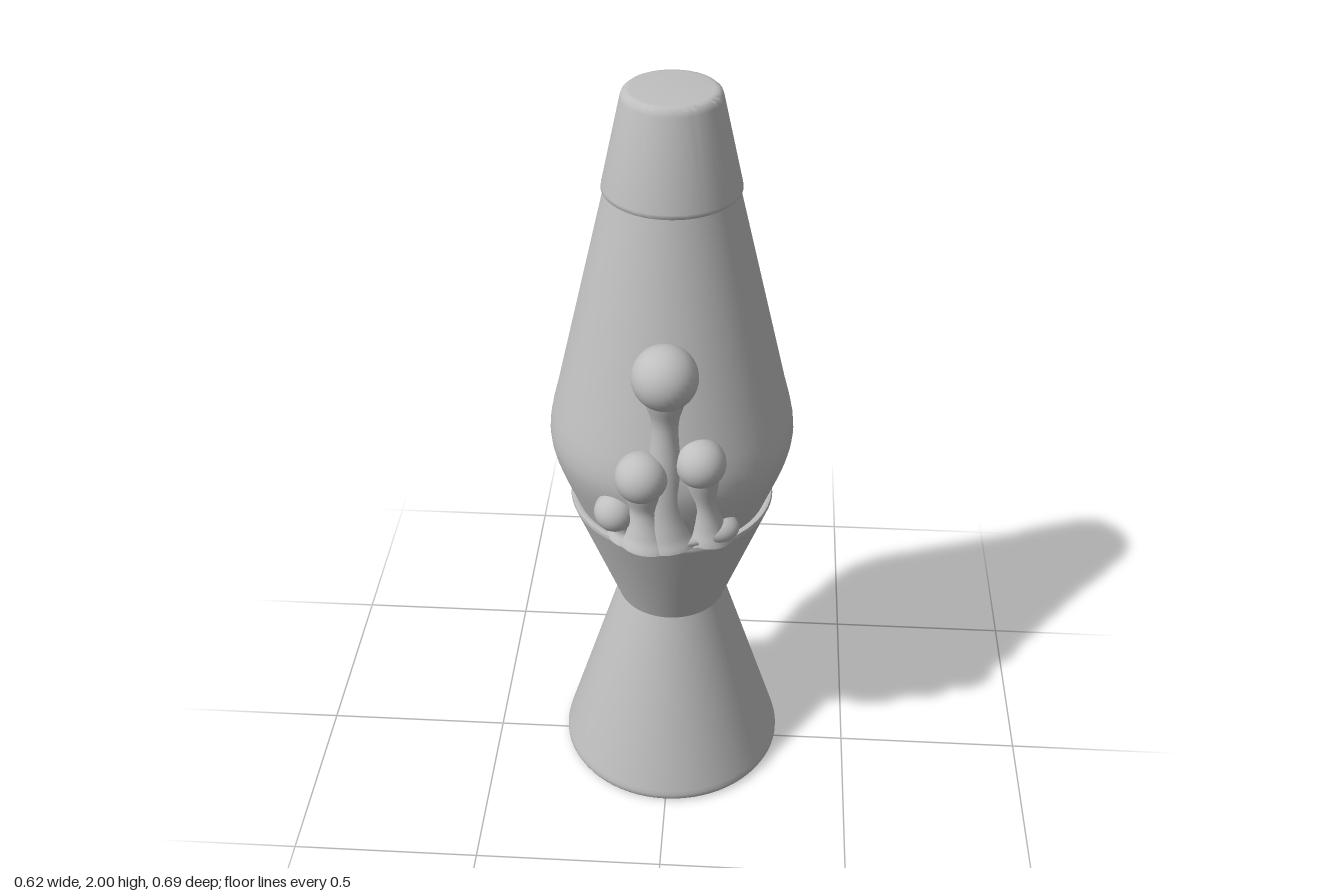
import * as THREE from 'three';
import { toCreasedNormals } from 'three/addons/utils/BufferGeometryUtils.js';

const AXIS_Z = -0.033; // the lamp body sits slightly behind the centre

export function createModel() {
  const model = new THREE.Group();
  const grey = new THREE.MeshStandardMaterial({ color: 0xbfbfbf });
  grey.name = 'plain grey';

  const add = (name, geometry, parent) => {
    const mesh = new THREE.Mesh(geometry, grey);
    mesh.name = name;
    parent.add(mesh);
    return mesh;
  };

  // Turned body part from [radius, height] pairs, bottom to top
  const turned = (name, profile, crease = 0.4) => {
    const points = profile.map(([r, y]) => new THREE.Vector2(r, y));
    const geometry = toCreasedNormals(new THREE.LatheGeometry(points, 72), crease);
    add(name, geometry, model).position.z = AXIS_Z;
  };

  turned('base', [
    [0, 0], [0.294, 0], [0.301, 0.004], [0.305, 0.012], [0.305, 0.022], [0.302, 0.034],
    [0.145, 0.545],
  ], 0.8);
  turned('cup', [
    [0.145, 0.545], [0.262, 0.862], [0.266, 0.873], [0.264, 0.88], [0.257, 0.882], [0.24, 0.874],
  ], 0.9);
  turned('globe', [
    [0.238, 0.85], [0.25, 0.88], [0.288, 0.98], [0.301, 1.02], [0.309, 1.055], [0.312, 1.085],
    [0.309, 1.12], [0.301, 1.16], [0.288, 1.21], [0.158, 1.765],
  ], 0.6);
  turned('cap', [
    [0.15, 1.754], [0.164, 1.754], [0.167, 1.759], [0.166, 1.766], [0.119, 1.98], [0.115, 1.992],
    [0.107, 1.999], [0.098, 2], [0, 2],
  ], 0.8);

  // Rising wax on the front of the globe
  const wax = new THREE.Group();
  wax.name = 'wax';
  model.add(wax);

  const blob = (name, x, y, z, r, sx = 1, sy = 1, sz = 1) => {
    const mesh = add(name, new THREE.SphereGeometry(r, 32, 20), wax);
    mesh.position.set(x, y, z);
    mesh.scale.set(sx, sy, sz);
  };
  blob('topBubble', 0, 1.4, 0.237, 0.08);
  blob('rightBubble', -0.055, 1.14, 0.279, 0.065);
  blob('leftBubble', 0.087, 1.167, 0.25, 0.062);
  blob('smallBubble', -0.125, 1.0, 0.235, 0.052);
  blob('lowBubble', 0.13, 0.935, 0.2, 0.045, 1.2, 0.85, 1);

  // Wax stem with rows of [x, y, z, radius], its centre line following the globe
  const stem = (name, rows) => {
    const path = new THREE.CatmullRomCurve3(rows.map(([x, y, z]) => new THREE.Vector3(x, y, z)));
    const radii = new THREE.SplineCurve(rows.map(([, y, , r]) => new THREE.Vector2(r, y)));
    const steps = 24;
    const centres = [], profile = [];
    for (let i = 0; i <= steps; i++) {
      const c = path.getPoint(i / steps);
      centres.push(c);
      profile.push(new THREE.Vector2(radii.getPoint(i / steps).x, c.y));
    }
    const geometry = new THREE.LatheGeometry(profile, 28);
    const position = geometry.attributes.position;
    for (let i = 0; i < position.count; i++) {
      const c = centres[i % (steps + 1)];
      position.setX(i, position.getX(i) + c.x);
      position.setZ(i, position.getZ(i) + c.z);
    }
    add(name, geometry, wax);
  };
  stem('centreStem', [
    [-0.01, 0.885, 0.165, 0.1], [-0.01, 0.93, 0.195, 0.08], [-0.005, 1.02, 0.232, 0.055],
    [0, 1.15, 0.245, 0.045], [0, 1.27, 0.235, 0.033], [0, 1.35, 0.235, 0.052],
  ]);
  stem('rightStem', [
    [-0.04, 0.885, 0.185, 0.085], [-0.045, 0.94, 0.222, 0.06], [-0.05, 1.03, 0.26, 0.036],
    [-0.055, 1.1, 0.275, 0.048],
  ]);
  stem('leftStem', [
    [0.11, 0.885, 0.17, 0.062], [0.105, 0.95, 0.205, 0.045], [0.095, 1.04, 0.235, 0.032],
    [0.088, 1.13, 0.248, 0.045],
  ]);
  stem('smallStem', [
    [-0.085, 0.885, 0.175, 0.065], [-0.1, 0.93, 0.205, 0.04], [-0.122, 0.98, 0.23, 0.042],
  ]);

  // Pool of wax spreading along the rim
  blob('waxPool', 0, 0.905, 0.155, 0.1, 1.5, 0.3, 0.95);

  return model;
}
